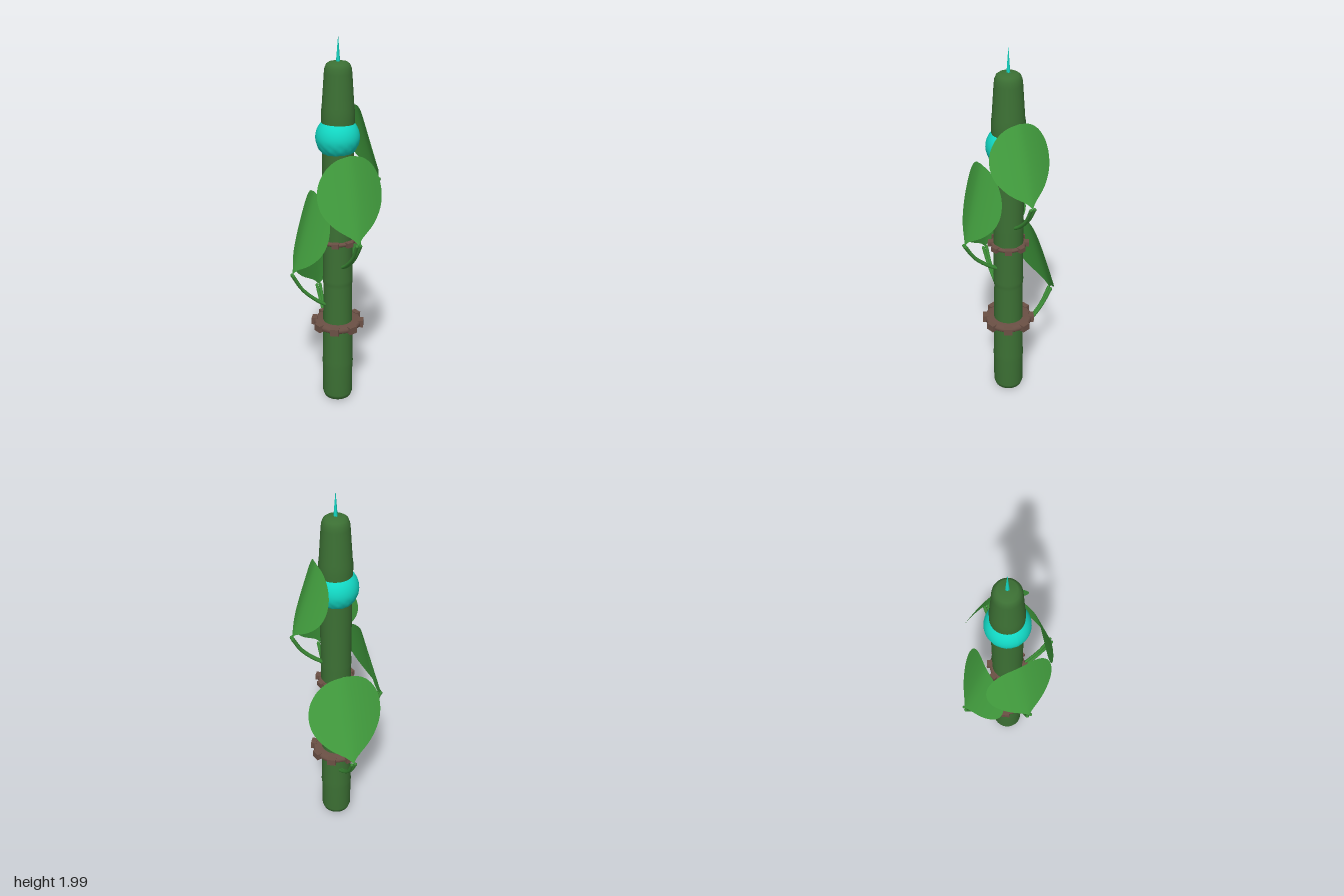
import * as THREE from 'three';

const mat = (name, color, side = THREE.FrontSide) => {
  const m = new THREE.MeshStandardMaterial({ color, side });
  m.name = name;
  return m;
};

// Leaf blade: rows from the low outer tip to the rounded top, folded inward along the midrib
function leafGeometry({ y0, y1, tip, top, half }) {
  const outline = new THREE.SplineCurve([
    [0, 0], [0.08, 0.17], [0.2, 0.6], [0.35, 0.9], [0.52, 1], [0.7, 0.93], [0.86, 0.7], [0.96, 0.38], [1, 0],
  ].map(p => new THREE.Vector2(...p)));
  const rows = 32, cols = 12, pos = [], idx = [];
  for (let i = 0; i <= rows; i++) {
    const p = outline.getPoint(i / rows);
    for (let j = 0; j <= cols; j++) {
      const u = (j / cols * 2 - 1) * p.y;
      const z = THREE.MathUtils.lerp(tip, top, p.x) - 0.055 * Math.abs(u) ** 1.5;
      pos.push(u * half, THREE.MathUtils.lerp(y0, y1, p.x), z);
      if (i < rows && j < cols) {
        const a = i * (cols + 1) + j, b = a + cols + 1;
        idx.push(a, a + 1, b, a + 1, b + 1, b);
      }
    }
  }
  const g = new THREE.BufferGeometry();
  g.setAttribute('position', new THREE.Float32BufferAttribute(pos, 3));
  g.setIndex(idx);
  g.computeVertexNormals();
  return g;
}

export function createModel() {
  const stemGreen = mat('stem green', 0x3c7034);
  const leafGreen = mat('leaf green', 0x43a03f, THREE.DoubleSide);
  const stalkGreen = mat('stalk green', 0x3c8c36);
  const brown = mat('ring brown', 0x6b5045);
  const cyan = mat('glowing cyan', 0x12d8c4);

  const model = new THREE.Group();
  model.name = 'plantStaff';
  const plant = new THREE.Group();
  plant.name = 'plant';
  plant.position.set(0.016, 0, 0.009);
  model.add(plant);

  const add = (parent, name, geometry, material, x = 0, y = 0, z = 0) => {
    const m = new THREE.Mesh(geometry, material);
    m.name = name;
    m.position.set(x, y, z);
    parent.add(m);
    return m;
  };

  // Jointed stem with rounded ends
  const profile = [
    [0, 0.008], [0.055, 0.01], [0.074, 0.02], [0.082, 0.045], [0.082, 0.22], [0.085, 0.235], [0.082, 0.255],
    [0.079, 0.5], [0.076, 0.7], [0.079, 0.72], [0.08, 0.74], [0.078, 0.8], [0.078, 1.05], [0.081, 1.07],
    [0.078, 1.1], [0.08, 1.4], [0.083, 1.6], [0.083, 1.64], [0.08, 1.66], [0.069, 1.82], [0.066, 1.845],
    [0.058, 1.865], [0.044, 1.875], [0, 1.878],
  ].map(p => new THREE.Vector2(...p));
  add(plant, 'stem', new THREE.LatheGeometry(profile, 40), stemGreen);

  // Bulb around the stem, dimpled on its lower half
  const bulb = new THREE.SphereGeometry(0.111, 48, 32);
  const p = bulb.attributes.position;
  for (let i = 0; i < p.count; i++) {
    const x = p.getX(i), y = p.getY(i), z = p.getZ(i);
    const low = THREE.MathUtils.smoothstep(-y, 0, 0.04);
    const k = 1 - 0.03 * low * (0.5 + 0.5 * Math.cos(12 * Math.atan2(z, x)) * Math.cos(y * 110));
    p.setXYZ(i, x * k, y * k, z * k);
  }
  bulb.computeVertexNormals();
  add(plant, 'bulb', bulb, cyan, -0.002, 1.505, 0);

  // Spike on the crown
  add(plant, 'spike', new THREE.ConeGeometry(0.011, 0.135, 6), cyan, 0, 1.9325, 0);

  // Bands with raised blocks
  function band(name, y, outer, height) {
    const g = new THREE.Group();
    g.name = name;
    g.position.y = y;
    const inner = 0.07, rim = outer - 0.013;
    const section = [
      [inner, -0.4], [rim - 0.008, -0.4], [rim, -0.2], [rim, 0.2], [rim - 0.008, 0.4], [inner, 0.4],
    ].map(([r, h]) => new THREE.Vector2(r, h * height));
    add(g, 'hoop', new THREE.LatheGeometry(section, 24), brown);
    for (let i = 0; i < 8; i++) {
      const a = THREE.MathUtils.degToRad(31 + 45 * i);
      const r = outer - 0.015;
      const b = add(g, 'block', new THREE.BoxGeometry(0.03, height, outer * 0.33), brown,
        Math.cos(a) * r, 0, Math.sin(a) * r);
      b.rotation.y = -a;
    }
    plant.add(g);
  }
  band('lowerBand', 0.477, 0.14, 0.038);
  band('upperBand', 0.958, 0.107, 0.026);

  // Leaves on paired curved stalks, one per side
  const leaves = [
    { name: 'frontLeaf', turn: 0, y0: 1.02, y1: 1.45, tip: 0.255, top: 0.152, half: 0.174 },
    { name: 'leftLeaf', turn: Math.PI / 2, y0: 1.265, y1: 1.658, tip: 0.229, top: 0.1, half: 0.165 },
    { name: 'rightLeaf', turn: -Math.PI / 2, y0: 0.8, y1: 1.24, tip: 0.255, top: 0.13, half: 0.186 },
    { name: 'backLeaf', turn: Math.PI, y0: 0.58, y1: 1.05, tip: 0.27, top: 0.12, half: 0.198 },
  ];
  for (const leaf of leaves) {
    const g = new THREE.Group();
    g.name = leaf.name;
    g.rotation.y = leaf.turn;
    add(g, 'blade', leafGeometry(leaf), leafGreen);
    const rise = leaf.half * 1.15, reach = leaf.tip - 0.06;
    for (const s of [-1, 1]) {
      const path = new THREE.CatmullRomCurve3([
        [0.006, 0, -1], [0.006, 0.3, -0.82], [0.006, 0.72, -0.45], [0.01, 1, -0.02],
      ].map(([x, out, up]) => new THREE.Vector3(s * x, leaf.y0 + up * rise, 0.06 + out * reach)));
      add(g, 'stalk', new THREE.TubeGeometry(path, 16, 0.009, 8), stalkGreen);
      const end = add(g, 'stalkEnd', new THREE.SphereGeometry(0.009, 8, 6), stalkGreen);
      end.position.copy(path.getPoint(1));
    }
    plant.add(g);
  }
  return model;
}
